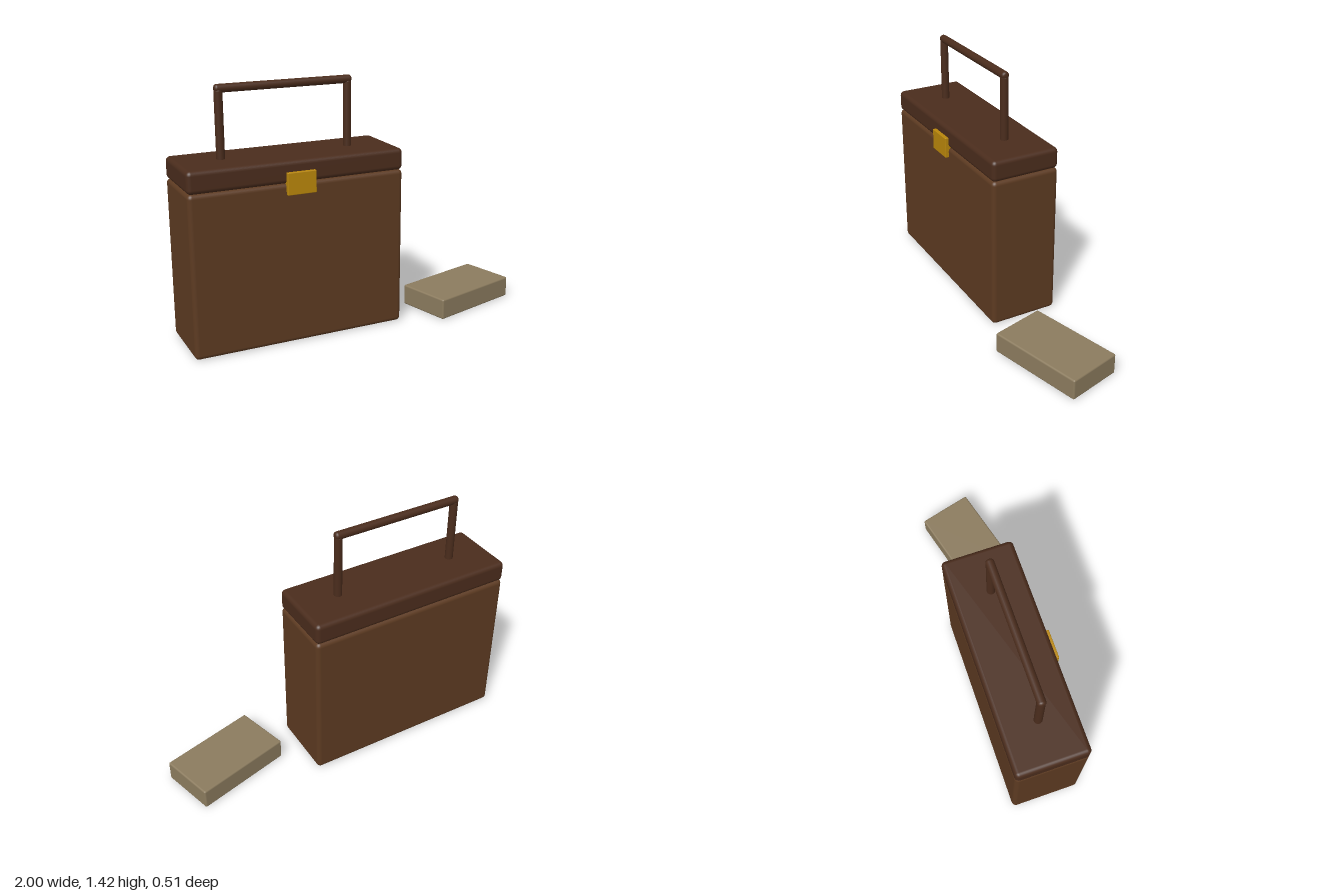
import * as THREE from 'three';
import { RoundedBoxGeometry } from 'three/addons/geometries/RoundedBoxGeometry.js';

const material = (color) => new THREE.MeshStandardMaterial({ color });

export function createModel() {
  const group = new THREE.Group();
  const leather = material(0x5c3a21);
  const darkLeather = material(0x4a2c1c);
  const brass = material(0xb8860b);
  const card = material(0x8b7b5e);

  const add = (name, geometry, mat, x, y, z) => {
    const mesh = new THREE.Mesh(geometry, mat);
    mesh.name = name;
    mesh.position.set(x, y, z);
    group.add(mesh);
    return mesh;
  };
  const block = (w, h, d, r) => new RoundedBoxGeometry(w, h, d, 3, r);

  // Rod with softly rounded ends, centred on its length
  const rod = (length, radius, bevel) => {
    const profile = [new THREE.Vector2(0, -length / 2)];
    for (let i = 0; i <= 4; i++) {
      const a = (i / 4) * Math.PI / 2;
      profile.push(new THREE.Vector2(
        radius - bevel + bevel * Math.sin(a), -length / 2 + bevel - bevel * Math.cos(a)));
    }
    const upper = profile.map((p) => new THREE.Vector2(p.x, -p.y)).reverse();
    return new THREE.LatheGeometry([...profile, ...upper], 20);
  };

  const cx = -0.387, cz = -0.053;

  // Case body and lid, with a groove left between their rounded edges
  add('caseBody', block(1.226, 0.905, 0.408, 0.025), leather, cx, 0.4525, cz);
  add('caseLid', block(1.226, 0.122, 0.408, 0.025), darkLeather, cx, 0.964, cz);

  // Handle: two posts and a crossbar
  for (const [side, name] of [[-1, 'rightHandlePost'], [1, 'leftHandlePost']]) {
    add(name, rod(0.39, 0.023, 0.012), darkLeather, cx + side * 0.368, 1.2, cz);
  }
  add('handleBar', rod(0.78, 0.023, 0.016), darkLeather, cx, 1.397, cz).rotation.z = Math.PI / 2;

  // Clasp across the seam
  add('clasp', block(0.164, 0.122, 0.041, 0.004), brass, cx, 0.905, 0.151);

  // Small separate block lying beside the case
  add('smallBlock', block(0.571, 0.122, 0.326, 0.01), card, 0.681, 0.061, 0.025).rotation.y = Math.PI / 12;

  return group;
}
